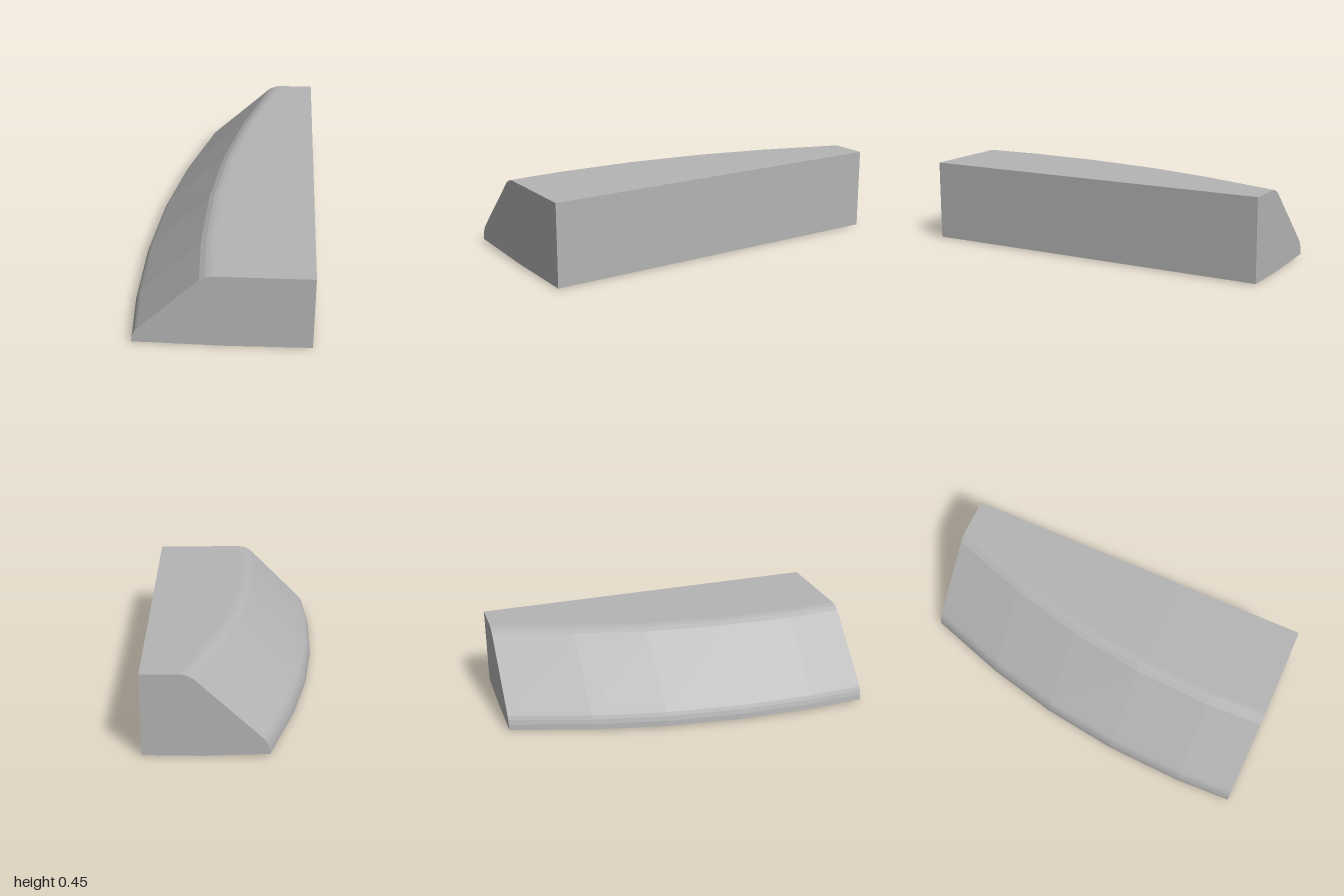
import * as THREE from 'three';

// Plan of the bowed edge, front to back: [z, outer x, stretch of the profile along x]
const stations = [
  [1, -0.463, 1.0], [0.69, -0.477, 1.0], [0.26, -0.46, 1.005],
  [-0.16, -0.405, 1.02], [-0.56, -0.313, 1.04], [-1, -0.172, 1.06],
];

// Rounded bevel from the top down to the foot: [inset from outer edge, y]
const bevel = [
  [0.43, 0.452], [0.41, 0.45], [0.388, 0.444], [0.36, 0.428],
  [0.036, 0.102], [0.022, 0.085], [0.012, 0.065], [0.004, 0.04], [0, 0.01],
];
const right = 0.477;

// Cross-section, counter-clockwise seen from the front
function section([z, outer, stretch]) {
  return [
    [right, 0.005, z],
    [right, 0.452, z],
    ...bevel.map(([inset, y]) => [outer + inset * stretch, y, z]),
    [(outer + right) / 2 + 0.015, 0, z],
  ];
}

function bodyGeometry() {
  const rings = stations.map(section);
  const n = rings[0].length;
  const positions = [];
  const tri = (a, b, c) => positions.push(...a, ...b, ...c);
  // Walls between neighbouring sections
  for (let s = 0; s < rings.length - 1; s++) {
    const front = rings[s], back = rings[s + 1];
    for (let i = 0; i < n; i++) {
      const j = (i + 1) % n;
      tri(front[i], back[i], back[j]);
      tri(front[i], back[j], front[j]);
    }
  }
  // Flat end caps
  const first = rings[0], last = rings[rings.length - 1];
  for (let i = 1; i < n - 1; i++) {
    tri(first[0], first[i], first[i + 1]);
    tri(last[0], last[i + 1], last[i]);
  }
  const geometry = new THREE.BufferGeometry();
  geometry.setAttribute('position', new THREE.Float32BufferAttribute(positions, 3));
  geometry.computeVertexNormals();
  return geometry;
}

export function createModel() {
  const group = new THREE.Group();
  group.name = 'bevelledBlock';
  const grey = new THREE.MeshStandardMaterial({ color: 0xb4b4b4 });
  grey.name = 'grey';
  const body = new THREE.Mesh(bodyGeometry(), grey);
  body.name = 'body';
  group.add(body);
  return group;
}
